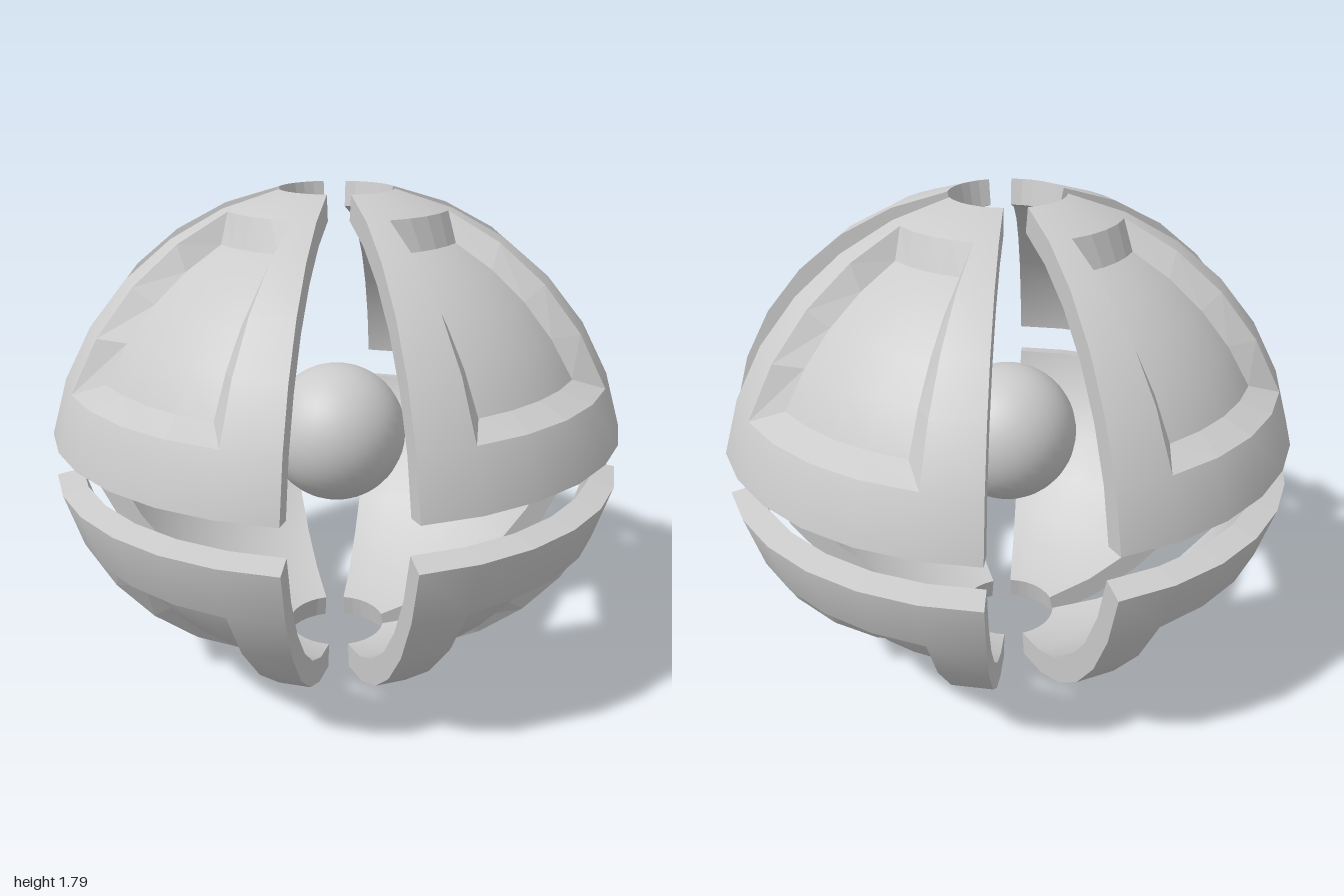
import * as THREE from 'three';

const STEP = Math.PI / 16;             // 11.25 degrees, one facet of the shell
const OUTER = 1.04, INNER = 0.95, FLOOR = 0.965;
const INSET = THREE.MathUtils.degToRad(27);
const SHIFT = 0.125, MID = 0.895;      // halves pushed towards the equator

// Point on a sphere: p turns around y, t is measured down from the pole
const onSphere = (p, t, r) => new THREE.Vector3().setFromSphericalCoords(r, t, p);

// Angles from `start` to its mirror within the quarter turn
const steps = (start, n) =>
  Array.from({ length: n + 1 }, (_, i) => start + (Math.PI / 2 - 2 * start) * i / n);

function toGeometry(quads, smooth, sign = 1) {
  const pos = [], nor = [];
  for (const [a, b, c, d] of quads) {
    for (const v of [a, b, c, a, c, d]) {
      pos.push(v.x, v.y, v.z);
      const n = v.clone().normalize().multiplyScalar(sign);
      nor.push(n.x, n.y, n.z);
    }
  }
  const g = new THREE.BufferGeometry();
  g.setAttribute('position', new THREE.Float32BufferAttribute(pos, 3));
  if (smooth) g.setAttribute('normal', new THREE.Float32BufferAttribute(nor, 3));
  else g.computeVertexNormals();
  return g;
}

// Smooth spherical patch; `skip` leaves out grid cells, `inward` turns it inside out
function patch(start, n, r, { skip = () => false, inward = false } = {}) {
  const s = steps(start, n), quads = [];
  for (let i = 0; i < n; i++) {
    for (let j = 0; j < n; j++) {
      if (skip(i, j)) continue;
      const q = [[i, j], [i, j + 1], [i + 1, j + 1], [i + 1, j]]
        .map(([k, l]) => onSphere(s[k], s[l], r));
      quads.push(inward ? q.reverse() : q);
    }
  }
  return toGeometry(quads, true, inward ? -1 : 1);
}

// Closed border of a patch, counter-clockwise seen from outside
function border(start, n, r) {
  const s = steps(start, n), loop = [];
  for (let i = 0; i < n; i++) loop.push(onSphere(s[0], s[i], r));
  for (let i = 0; i < n; i++) loop.push(onSphere(s[i], s[n], r));
  for (let i = n; i > 0; i--) loop.push(onSphere(s[n], s[i], r));
  for (let i = n; i > 0; i--) loop.push(onSphere(s[i], s[0], r));
  return loop;
}

// Flat-faced strip joining two borders
function strip(a, b) {
  return toGeometry(a.map((v, i) => {
    const k = (i + 1) % a.length;
    return [v, b[i], b[k], a[k]];
  }), false);
}

export function createModel() {
  const model = new THREE.Group();
  model.name = 'segmentedSphere';
  const smooth = new THREE.MeshStandardMaterial({ color: 0xcccccc });
  const flat = new THREE.MeshStandardMaterial({ color: 0xcccccc, flatShading: true });

  // Parts of one panel, shared by all eight
  const inFrame = (i, j) => i > 0 && i < 5 && j > 0 && j < 5;
  const parts = [
    ['panelFrame', patch(STEP, 6, OUTER, { skip: inFrame }), smooth],
    ['panelInside', patch(STEP, 6, INNER, { inward: true }), smooth],
    ['panelEdge', strip(border(STEP, 6, OUTER), border(STEP, 6, INNER)), flat],
    ['recessBevel', strip(border(INSET, 4, FLOOR), border(2 * STEP, 4, OUTER)), flat],
    ['recessFloor', patch(INSET, 4, FLOOR), smooth],
  ];

  // Upper and lower halves of four panels each
  for (const half of ['upper', 'lower']) {
    const ring = new THREE.Group();
    ring.name = half + 'Panels';
    for (let q = 0; q < 4; q++) {
      const panel = new THREE.Group();
      panel.name = half + 'Panel' + (q + 1);
      for (const [name, geometry, material] of parts) {
        const mesh = new THREE.Mesh(geometry, material);
        mesh.name = name;
        panel.add(mesh);
      }
      panel.rotation.y = q * Math.PI / 2;
      panel.position.y = -SHIFT;
      ring.add(panel);
    }
    if (half === 'lower') ring.rotation.x = Math.PI;
    ring.position.y = MID;
    model.add(ring);
  }

  // Ball floating in the middle
  const core = new THREE.Mesh(new THREE.SphereGeometry(0.257, 32, 24), smooth);
  core.name = 'coreBall';
  core.position.y = MID;
  model.add(core);
  return model;
}
